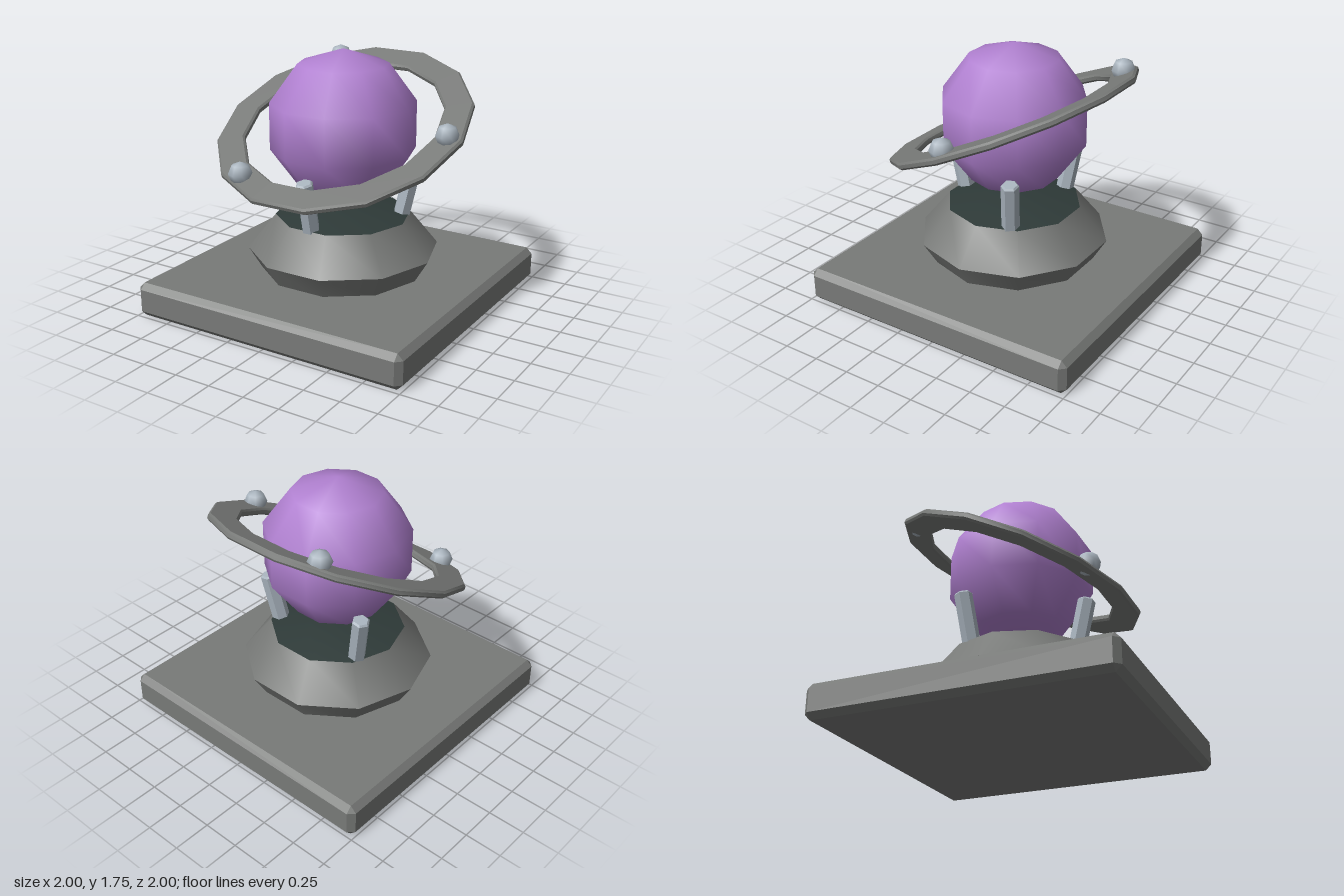
import * as THREE from 'three';
import { toCreasedNormals } from 'three/addons/utils/BufferGeometryUtils.js';
import { ConvexGeometry } from 'three/addons/geometries/ConvexGeometry.js';

function material(name, color) {
  const m = new THREE.MeshStandardMaterial({ color });
  m.name = name;
  return m;
}

// Faceted turned part with a vertex on the x axis; smooth around, sharp at steps
function turned(profile, sides) {
  const points = profile.map(([r, y]) => new THREE.Vector2(r, y));
  const geometry = new THREE.LatheGeometry(points, sides).rotateY(Math.PI / 2);
  return toCreasedNormals(geometry, THREE.MathUtils.degToRad(38));
}

// Box with every edge cut by a flat chamfer
function chamferedBox(w, h, d, c) {
  const points = [];
  for (const x of [-w / 2, w / 2])
    for (const y of [-h / 2, h / 2])
      for (const z of [-d / 2, d / 2]) {
        const ix = x - Math.sign(x) * c, iy = y - Math.sign(y) * c, iz = z - Math.sign(z) * c;
        points.push(
          new THREE.Vector3(x, iy, iz),
          new THREE.Vector3(ix, y, iz),
          new THREE.Vector3(ix, iy, z)
        );
      }
  return new ConvexGeometry(points);
}

export function createModel() {
  const model = new THREE.Group();
  model.name = 'orbStand';
  const stone = material('stone grey', 0x787a78);
  const dark = material('dark slate', 0x2e3a38);
  const steel = material('pale steel', 0xa9b4be);
  const violet = material('violet', 0xb080d0);

  const add = (parent, name, geometry, mat, x = 0, y = 0, z = 0) => {
    const mesh = new THREE.Mesh(geometry, mat);
    mesh.name = name;
    mesh.position.set(x, y, z);
    parent.add(mesh);
    return mesh;
  };

  // Base slab and pedestal
  add(model, 'base', chamferedBox(2, 0.235, 2, 0.04), stone, 0, 0.1175, 0);
  add(model, 'pedestal', turned([[0.55, 0.22], [0.65, 0.385], [0.46, 0.62]], 10), stone);
  add(model, 'pedestalCap', turned([[0.46, 0.62], [0.2, 0.67], [0, 0.67]], 10), dark);

  // Three struts leaning outward
  const strutGeometry = turned(
    [[0, -0.2], [0.06, -0.2], [0.06, 0.17], [0.048, 0.182], [0, 0.182]], 6);
  for (let i = 0; i < 3; i++) {
    const arm = new THREE.Group();
    arm.name = 'strutArm';
    arm.rotation.y = (i * Math.PI * 2) / 3;
    add(arm, 'strut', strutGeometry, steel, 0, 0.785, 0.435).rotation.x = 0.22;
    model.add(arm);
  }

  // Floating orb
  add(model, 'orb', new THREE.SphereGeometry(0.515, 10, 5), violet, 0, 1.235, 0);

  // Tilted ring with chamfered rims
  const tilt = THREE.MathUtils.degToRad(24.5);
  const t = 0.025, b = 0.013, outer = 0.875, inner = 0.68;
  const ringProfile = [
    [inner + b, -t], [outer - b, -t], [outer, -t + b], [outer, t - b],
    [outer - b, t], [inner + b, t], [inner, t - b], [inner, -t + b], [inner + b, -t]
  ];
  add(model, 'ring', turned(ringProfile, 14), stone, 0, 1.24, 0).rotation.x = tilt;

  // Three beads sitting on the ring
  const beadGeometry = new THREE.SphereGeometry(0.08, 8, 4);
  for (let i = 0; i < 3; i++) {
    const a = (i * Math.PI * 2) / 3;
    const p = new THREE.Vector3(0.775 * Math.cos(a), 0.045, 0.775 * Math.sin(a));
    p.applyAxisAngle(new THREE.Vector3(1, 0, 0), tilt);
    add(model, 'bead', beadGeometry, steel, p.x, p.y + 1.24, p.z);
  }
  return model;
}
